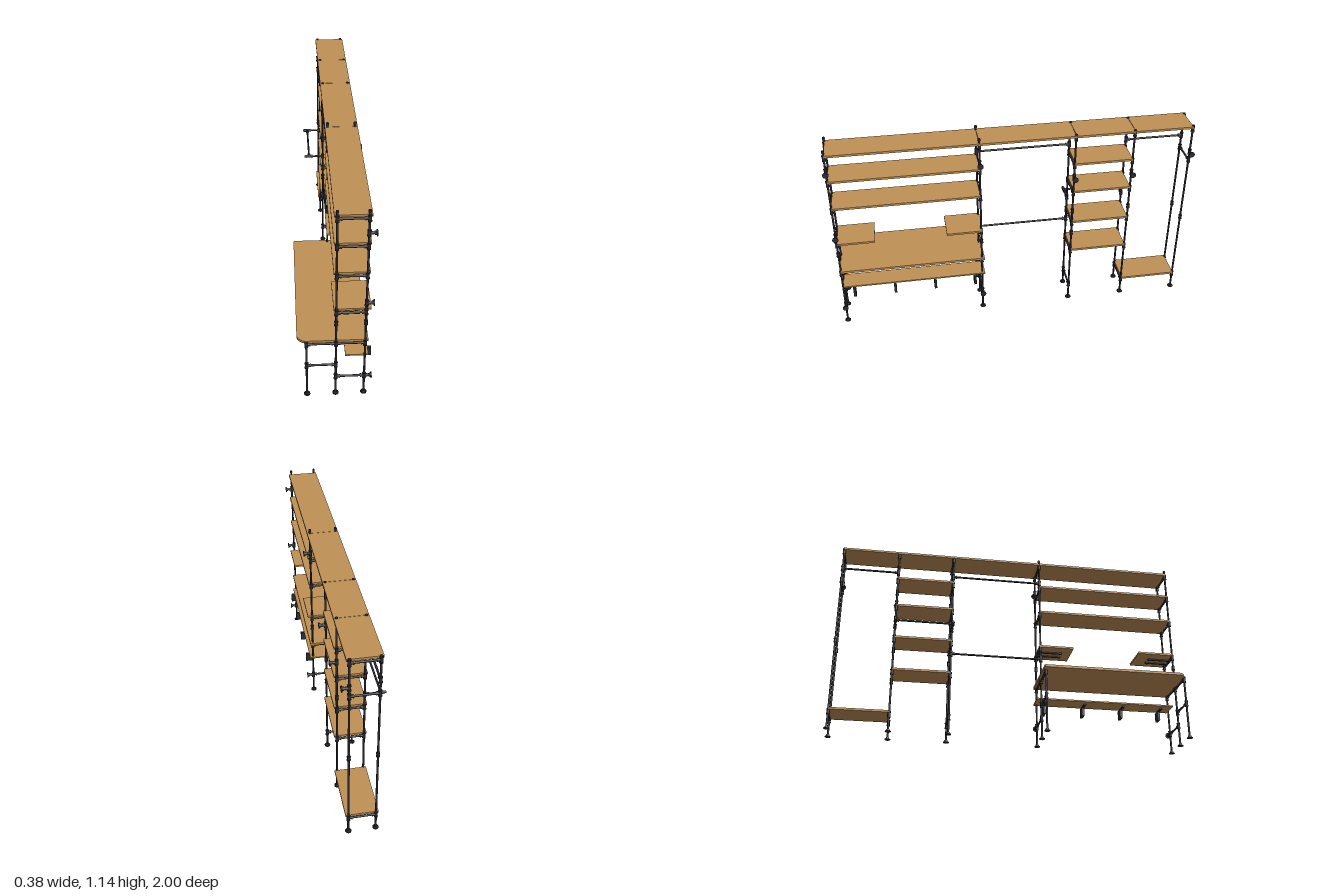
import * as THREE from 'three';

const wood = new THREE.MeshStandardMaterial({ color: 0xc09055 });
wood.name = 'oak wood';
const iron = new THREE.MeshStandardMaterial({ color: 0x2c2c34 });
iron.name = 'dark iron';

const R = 0.0055, FIT = 0.0085, XF = 0.003, XB = 0.147, XD = -0.143;
const UP = new THREE.Vector3(0, 1, 0);

export function createModel() {
  const model = new THREE.Group();
  model.name = 'pipeShelving';

  // Round bar between two points
  function rod(parent, name, a, b, r = R, r2 = r) {
    const p = new THREE.Vector3(...a), d = new THREE.Vector3(...b).sub(p);
    const m = new THREE.Mesh(new THREE.CylinderGeometry(r2, r, d.length(), 14), iron);
    m.quaternion.setFromUnitVectors(UP, d.clone().normalize());
    m.position.copy(p).addScaledVector(d, 0.5);
    m.name = name;
    parent.add(m);
  }

  // Sleeve on an upright
  const collar = (g, x, y, z, h = 0.028) => {
    rod(g, 'fitting', [x, y - h / 2, z], [x, y + h / 2, z], FIT);
    for (const s of [-1, 1])
      rod(g, 'fittingRim', [x, y + s * h / 2 - 0.003, z], [x, y + s * h / 2 + 0.003, z], FIT + 0.0015);
  };

  // Horizontal pipe with tee sockets on both ends
  function pipe(g, name, a, b) {
    rod(g, name, a, b);
    const A = new THREE.Vector3(...a), B = new THREE.Vector3(...b);
    const d = B.clone().sub(A).normalize();
    for (const [p, s] of [[A, 1], [B, -1]]) {
      const at = t => p.clone().addScaledVector(d, s * t).toArray();
      rod(g, 'socket', at(0), at(0.02), FIT - 0.001);
      rod(g, 'socketRim', at(0.016), at(0.021), FIT + 0.001);
    }
  }

  // Bar from one upright to another, with sleeves
  function crossbar(g, y, z, x0 = XF, x1 = XB) {
    pipe(g, 'crossbar', [x0, y, z], [x1, y, z]);
    collar(g, x0, y, z);
    collar(g, x1, y, z);
  }

  // Upright standing on a floor flange
  function upright(g, x, z, h) {
    rod(g, 'upright', [x, 0, z], [x, h, z]);
    rod(g, 'footFlange', [x, 0, z], [x, 0.004, z], 0.0165);
    rod(g, 'footHub', [x, 0.004, z], [x, 0.014, z], 0.0115, 0.0085);
  }

  // Short pipe ending in a round wall flange
  function wallMount(g, y, z) {
    collar(g, XB, y, z);
    rod(g, 'wallPipe', [XB, y, z], [0.183, y, z]);
    rod(g, 'wallSocket', [XB, y, z], [0.165, y, z], FIT);
    rod(g, 'wallHub', [0.169, y, z], [0.18, y, z], 0.0085, 0.0115);
    rod(g, 'wallFlange', [0.18, y, z], [0.185, y, z], 0.0165);
  }

  // Ladder frames: position, height, crossbars, wall mounts, plain couplings
  const frames = [
    { z: 0.984, h: 1.14, bars: [1.096, 0.941, 0.771, 0.547, 0.12], walls: [1.015, 0.605, 0.12], rings: [0.48], desk: true },
    { z: 0.185, h: 1.14, bars: [1.096, 0.941, 0.771, 0.547, 0.12], walls: [0.99, 0.12], rings: [0.48], desk: true },
    { z: -0.335, h: 1.12, bars: [1.096, 0.926, 0.749, 0.547, 0.349, 0.1], walls: [0.855], rings: [0.63, 0.48] },
    { z: -0.659, h: 1.12, bars: [1.096, 0.926, 0.749, 0.547, 0.349, 0.098], walls: [0.855], rings: [0.63] },
    { z: -0.983, h: 1.12, bars: [1.096, 0.905, 0.098], walls: [0.955], rings: [0.52] },
  ];
  for (const f of frames) {
    const g = new THREE.Group();
    g.name = 'ladderFrame';
    model.add(g);
    for (const x of [XF, XB]) {
      upright(g, x, f.z, f.h);
      rod(g, 'topCap', [x, f.h - 0.012, f.z], [x, f.h, f.z], 0.0075);
      for (const y of f.rings) collar(g, x, y, f.z, 0.02);
    }
    for (const y of f.bars) crossbar(g, y, f.z);
    for (const y of f.walls) wallMount(g, y, f.z);
    if (f.desk) {
      upright(g, XD, f.z, 0.35);
      crossbar(g, 0.347, f.z, XD, XF);
      crossbar(g, 0.347, f.z);
      crossbar(g, 0.203, f.z, XD, XF);
    }
  }

  // Long rails between the frames
  const rails = [[0.982, 0.185, -0.335], [0.482, 0.185, -0.335], [0.982, -0.659, -0.983]];
  for (const [y, z0, z1] of rails) {
    pipe(model, 'hangingRail', [XF, y, z0], [XF, y, z1]);
    for (const z of [z0, z1]) collar(model, XF, y, z);
  }

  // Projecting handrail
  for (const z of [-0.335, -0.659]) {
    pipe(model, 'railArm', [XF, 0.63, z], [-0.08, 0.63, z]);
    rod(model, 'railElbow', [-0.066, 0.63, z], [-0.1, 0.63, z], FIT);
    rod(model, 'railEndCap', [-0.1, 0.63, z], [-0.108, 0.63, z], 0.007);
  }
  pipe(model, 'projectingRail', [-0.08, 0.63, -0.335], [-0.08, 0.63, -0.659]);

  // Boards
  function board(name, x0, x1, y, z0, z1, t = 0.012) {
    const m = new THREE.Mesh(new THREE.BoxGeometry(x1 - x0, t, z1 - z0), wood);
    m.position.set((x0 + x1) / 2, y, (z0 + z1) / 2);
    m.name = name;
    model.add(m);
  }
  const bays = [
    [0.185, 0.984, [1.11, 0.955, 0.786]],
    [-0.335, 0.185, [1.11]],
    [-0.659, -0.335, [1.11, 0.94, 0.763, 0.561, 0.363]],
    [-0.983, -0.659, [1.11, 0.112]],
  ];
  for (const [z0, z1, ys] of bays)
    for (const y of ys) board('shelf', -0.011, 0.161, y, z0 + 0.001, z1 - 0.001);

  // Small shelves on cantilever pipes
  for (const [z0, z1, zf, ze] of [[0.775, 0.98, 0.984, 0.85], [0.178, 0.38, 0.185, 0.32]]) {
    board('smallShelf', -0.01, 0.172, 0.562, z0, z1, 0.011);
    for (const x of [0.05, 0.1]) {
      rod(model, 'shelfArm', [x, 0.547, zf], [x, 0.547, ze]);
      rod(model, 'armSocket', [x - 0.015, 0.547, zf], [x + 0.015, 0.547, zf], FIT);
      rod(model, 'armCap', [x, 0.547, ze], [x, 0.547, ze + Math.sign(zf - ze) * 0.012], 0.0075);
    }
  }

  // Desk top with one rounded corner
  const s = new THREE.Shape();
  s.moveTo(0.162, -0.17);
  s.lineTo(-0.18, -0.17);
  s.quadraticCurveTo(-0.19, -0.17, -0.19, -0.18);
  s.lineTo(-0.19, -0.935);
  s.absarc(-0.14, -0.935, 0.05, Math.PI, Math.PI * 1.5, false);
  s.lineTo(0.162, -0.985);
  const desk = new THREE.Mesh(
    new THREE.ExtrudeGeometry(s, { depth: 0.014, bevelEnabled: false, curveSegments: 10 }), wood);
  desk.rotation.x = -Math.PI / 2;
  desk.position.y = 0.355;
  desk.name = 'deskTop';
  model.add(desk);

  // Low shelf under the desk with its brackets
  board('lowShelf', 0.05, 0.165, 0.259, 0.17, 0.98, 0.008);
  for (const z of [0.92, 0.69, 0.46, 0.23]) {
    const plate = new THREE.Mesh(new THREE.BoxGeometry(0.048, 0.054, 0.014), iron);
    plate.position.set(0.161, 0.228, z);
    plate.name = 'bracketPlate';
    const arm = new THREE.Mesh(new THREE.BoxGeometry(0.055, 0.006, 0.014), iron);
    arm.position.set(0.113, 0.252, z);
    arm.name = 'bracketArm';
    model.add(plate, arm);
  }
  return model;
}
